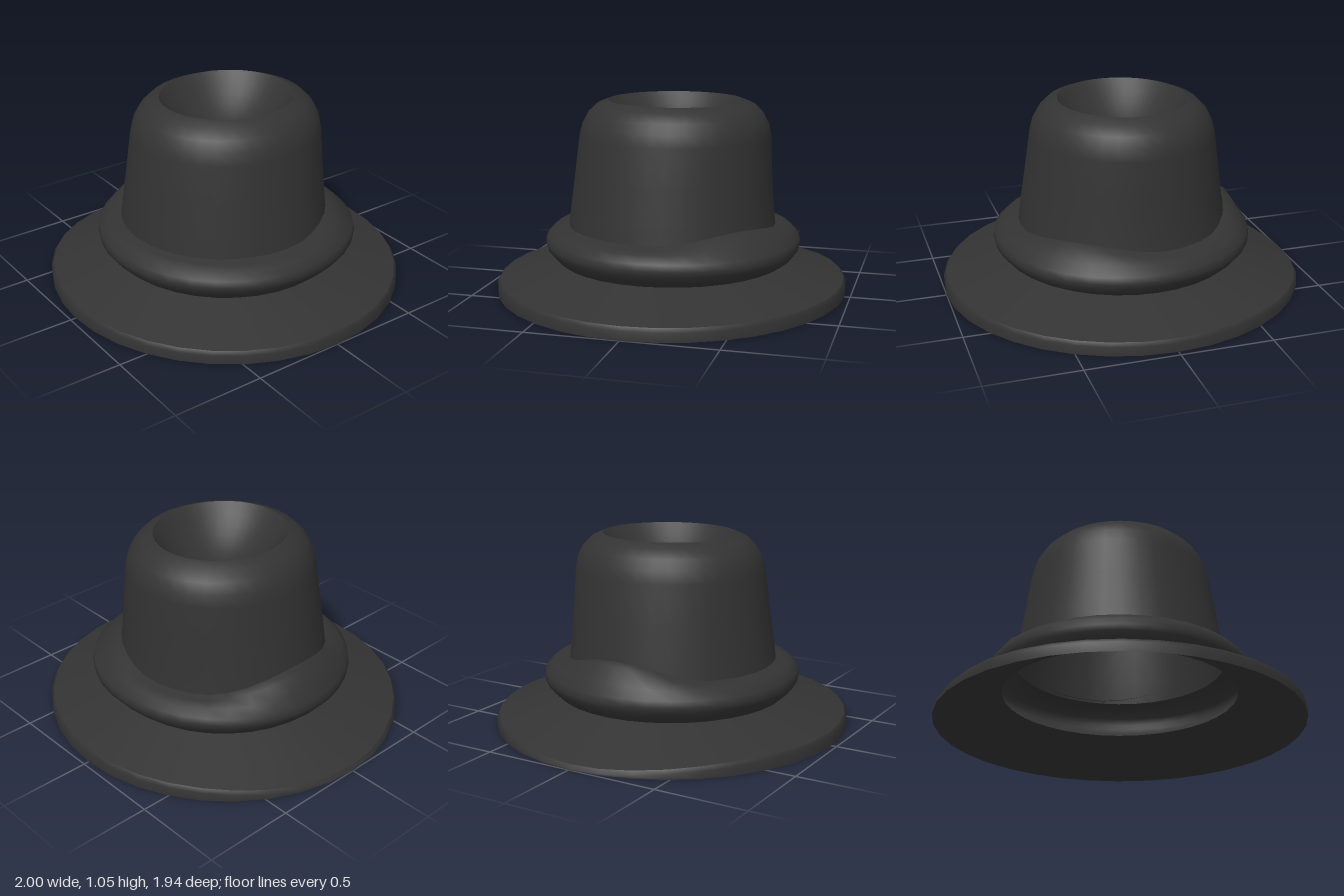
import * as THREE from 'three';
import { mergeVertices } from 'three/addons/utils/BufferGeometryUtils.js';

const SIDES = 36;
const felt = new THREE.MeshStandardMaterial({ color: 0x333333, side: THREE.DoubleSide });

// Smooth 0..1 hump around a compass direction (degrees, 0 = +x, 90 = +z)
function hump(x, z, degrees, width) {
  let d = Math.atan2(z, x) * 180 / Math.PI - degrees;
  d = Math.abs(((d + 540) % 360) - 180) / width;
  return d < 1 ? 0.5 + 0.5 * Math.cos(Math.PI * d) : 0;
}

// Revolve a profile, reshape it by a rule, and shade it without a seam
function turned(name, profile, rule) {
  let g = new THREE.LatheGeometry(profile.map(([r, y]) => new THREE.Vector2(r, y)), SIDES);
  const p = g.attributes.position;
  const v = new THREE.Vector3();
  for (let i = 0; i < p.count; i++) {
    v.fromBufferAttribute(p, i);
    rule(v);
    p.setXYZ(i, v.x, v.y, v.z);
  }
  g.deleteAttribute('uv');
  g.deleteAttribute('normal');
  g = mergeVertices(g, 1e-4);
  g.computeVertexNormals();
  const mesh = new THREE.Mesh(g, felt);
  mesh.name = name;
  return mesh;
}

export function createModel() {
  const hat = new THREE.Group();
  hat.name = 'hat';

  // Brim: thin cone, its edge thinner on the -x side
  const brimRule = (v) => {
    if (v.y > 0.05 && v.y < 0.08) v.y -= 0.045 * hump(v.x, v.z, 180, 60);
    const r = Math.hypot(v.x, v.z);
    v.z *= r > 0.8 ? 0.97 : 0.98;
  };
  const brim = new THREE.Group();
  brim.name = 'brim';
  brim.add(
    turned('brimUnderside', [[0.64, 0.165], [1, 0]], brimRule),
    turned('brimEdge', [[1, 0], [1, 0.05], [0.985, 0.07]], brimRule),
    turned('brimTop', [[0.985, 0.07], [0.64, 0.17]], brimRule),
  );
  hat.add(brim);

  // Band: rounded roll, pushed out and lifted at the back +x corner and at -x
  const bandRule = (v) => {
    const corner = hump(v.x, v.z, -52, 50);
    const side = hump(v.x, v.z, 180, 55);
    if (v.y > 0.35) v.y += 0.09 * side + 0.05 * corner;
    else if (v.y > 0.33) v.y += 0.02 * side + 0.015 * corner;
    if (v.y > 0.2 && v.y < 0.32) {
      const push = 1 + 0.03 * corner;
      v.x *= push;
      v.z *= push;
    }
    v.z *= v.z > 0 ? 0.98 : 0.995;
  };
  hat.add(turned('band',
    [[0.64, 0.168], [0.675, 0.2], [0.708, 0.24], [0.715, 0.27], [0.708, 0.305],
      [0.67, 0.342], [0.62, 0.352], [0.572, 0.365]], bandRule));

  // Crown: tapered wall with a rounded shoulder, its top shifted slightly back
  const crownRule = (v) => {
    const t = THREE.MathUtils.smoothstep(v.y, 0.36, 1.05);
    v.z = v.z * (1 + 0.06 * t) - 0.02 * t;
  };
  hat.add(turned('crown',
    [[0.575, 0.35], [0.56, 0.46], [0.53, 0.66], [0.502, 0.86], [0.485, 0.925],
      [0.455, 0.98], [0.41, 1.025], [0.35, 1.05]], crownRule));

  // Dish pressed into the top of the crown
  const dish = [];
  for (let i = 0; i <= 8; i++) {
    const r = 1 - i / 8;
    dish.push([0.35 * r, 1.05 - 0.24 * (1 - r * r)]);
  }
  hat.add(turned('crownDish', dish, (v) => { v.z = v.z * 1.06 - 0.02; }));

  return hat;
}
